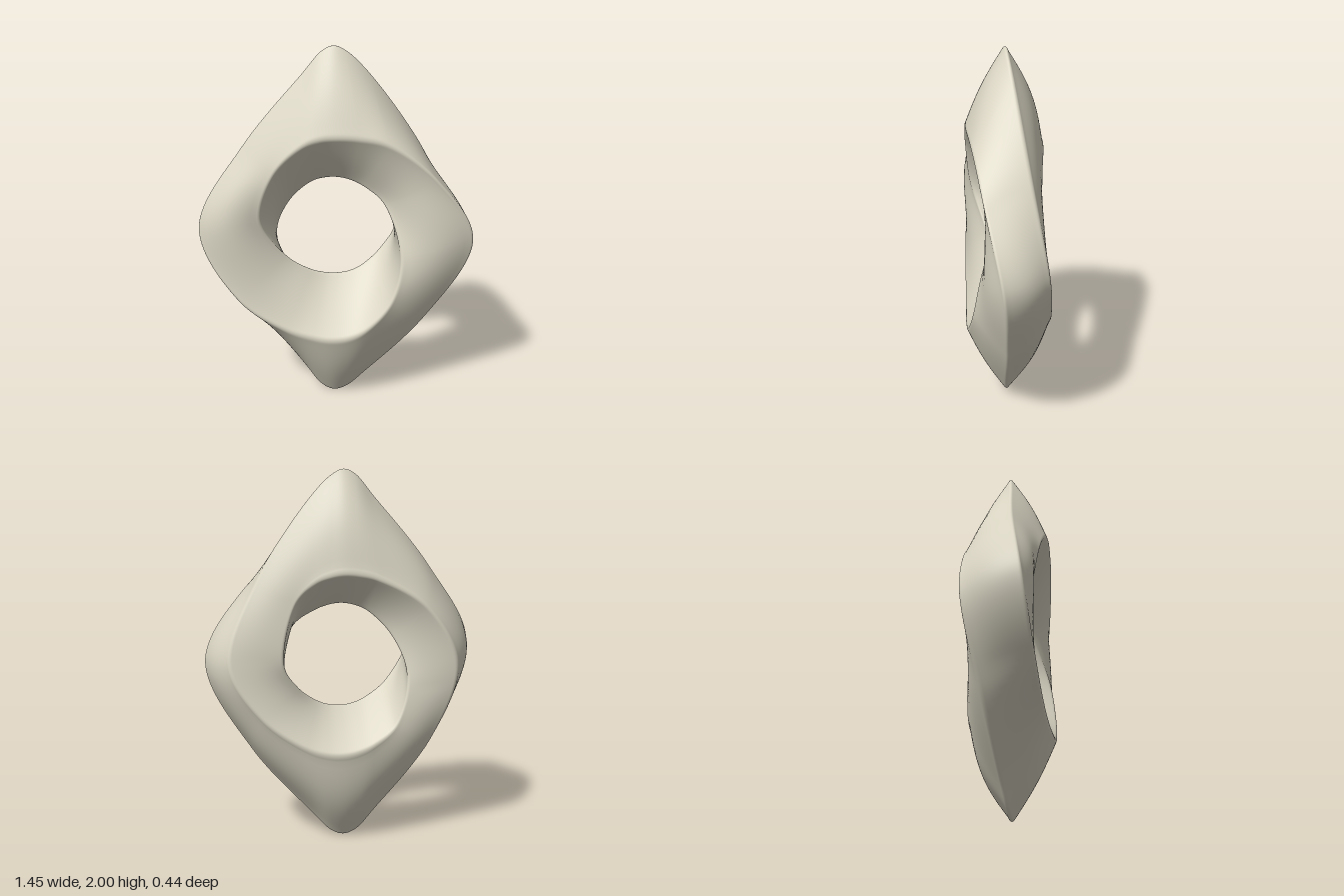
import * as THREE from 'three';

// Sixteen stations per turn, running from the top over the model's right side (-x),
// the bottom and +x back to the top. Each ridge closes only after two turns,
// because the four-sided section makes a half twist per turn.
const RIDGE_A = [ // outer at the top, front at the bottom, then inner, back
  -.02, 2, 0, -.08, 1.975, .005, -.18, 1.86, .02, -.49, 1.485, .07,
  -.725, 1.05, .15, -.52, .65, .193, -.27, .485, .208, -.13, .442, .216,
  -.03, .43, .222, .07, .445, .222, .16, .495, .218, .295, .66, .2,
  .345, .9, .16, .25, 1.17, .065, .14, 1.255, .025, .07, 1.285, .01,
  0, 1.297, 0, -.07, 1.288, -.015, -.14, 1.258, -.035, -.265, 1.13, -.08,
  -.345, .92, -.135, -.28, .66, -.18, -.16, .56, -.205, -.08, .525, -.215,
  0, .51, -.22, .09, .515, -.22, .2, .55, -.215, .43, .71, -.195,
  .6, 1, -.16, .45, 1.42, -.09, .16, 1.855, -.025, .04, 1.975, -.005,
];
const RIDGE_B = [ // front at the top, inner at the bottom, then back, outer
  0, 1.58, .21, -.08, 1.57, .209, -.17, 1.53, .206, -.32, 1.375, .195,
  -.402, 1.1, .16, -.27, .865, .08, -.15, .775, .04, -.07, .745, .015,
  0, .738, 0, .07, .748, -.015, .14, .78, -.04, .24, .865, -.1,
  .315, .995, -.15, .25, 1.32, -.158, .145, 1.43, -.175, .07, 1.462, -.187,
  0, 1.475, -.195, -.08, 1.47, -.198, -.18, 1.445, -.198, -.44, 1.29, -.187,
  -.61, .98, -.165, -.48, .55, -.09, -.18, .14, -.025, -.09, .03, -.005,
  -.02, 0, 0, .05, .025, 0, .15, .125, .01, .48, .5, .035,
  .72, .98, .08, .52, 1.335, .15, .27, 1.535, .19, .12, 1.573, .203,
];
const RINGS = 240, SIDE = 12, ROUND = 6, F = 0.07;
const M = 4 * (SIDE + ROUND);

function ridge(values) {
  const points = [];
  for (let i = 0; i < values.length; i += 3) points.push(new THREE.Vector3(values[i], values[i + 1], values[i + 2]));
  return new THREE.CatmullRomCurve3(points, true, 'centripetal');
}

const radius = (p) => Math.hypot(p.x, p.y - 1);

// Four-cornered section with rounded corners
function section(raw) {
  const corners = raw.map((c, k) => {
    const p = raw[(k + 3) % 4], n = raw[(k + 1) % 4];
    return c.clone().multiplyScalar(1 + F / 2).addScaledVector(p, -F / 4).addScaledVector(n, -F / 4);
  });
  const out = [];
  for (let k = 0; k < 4; k++) {
    const c = corners[k], p = corners[(k + 3) % 4], n = corners[(k + 1) % 4];
    // rounded corner
    const bend = new THREE.QuadraticBezierCurve3(c.clone().lerp(p, F), c, c.clone().lerp(n, F));
    for (let i = 0; i < ROUND; i++) out.push(bend.getPoint(i / ROUND));
    // side, gently bulged where it faces forward, inward, or outward and back
    const dr = radius(n) - radius(c), dz = n.z - c.z, length = Math.hypot(dr, dz);
    const nr = dz / length, nz = -dr / length;
    const bulge = 0.033 * Math.max(0, nz) ** 8 + 0.02 * Math.max(0, -nr) ** 8
      + 0.17 * length * Math.max(0, nr) * Math.max(0, -nz);
    for (let i = 0; i < SIDE; i++) {
      const u = i / SIDE;
      const q = c.clone().lerp(n, F + (1 - 2 * F) * u);
      const r = radius(q), b = bulge * Math.sin(Math.PI * u);
      out.push(new THREE.Vector3(q.x + b * nr * q.x / r, q.y + b * nr * (q.y - 1) / r, q.z + b * nz));
    }
  }
  return out;
}

function twistedRing() {
  const a = ridge(RIDGE_A), b = ridge(RIDGE_B);
  const positions = [], index = [];
  for (let i = 0; i < RINGS; i++) {
    const t = i / RINGS / 2;
    const ring = section([a.getPoint(t), b.getPoint(t), a.getPoint(t + 0.5), b.getPoint(t + 0.5)]);
    ring.forEach((p) => positions.push(p.x, p.y, p.z));
  }
  // the last ring joins the first half a section further round
  const id = (i, j) => (i < RINGS ? i * M + (j % M) : (j + M / 2) % M);
  for (let i = 0; i < RINGS; i++) {
    for (let j = 0; j < M; j++) {
      const p = id(i, j), q = id(i + 1, j), r = id(i + 1, j + 1), s = id(i, j + 1);
      index.push(p, q, r, p, r, s);
    }
  }
  const geometry = new THREE.BufferGeometry();
  geometry.setAttribute('position', new THREE.Float32BufferAttribute(positions, 3));
  geometry.setIndex(index);
  geometry.computeVertexNormals();
  return geometry;
}

export function createModel() {
  const group = new THREE.Group();
  group.name = 'twistedRingSculpture';
  const stone = new THREE.MeshStandardMaterial({ color: 0xdad5c3 });
  stone.name = 'paleStone';
  const ring = new THREE.Mesh(twistedRing(), stone);
  ring.name = 'twistedRing';
  group.add(ring);
  return group;
}
